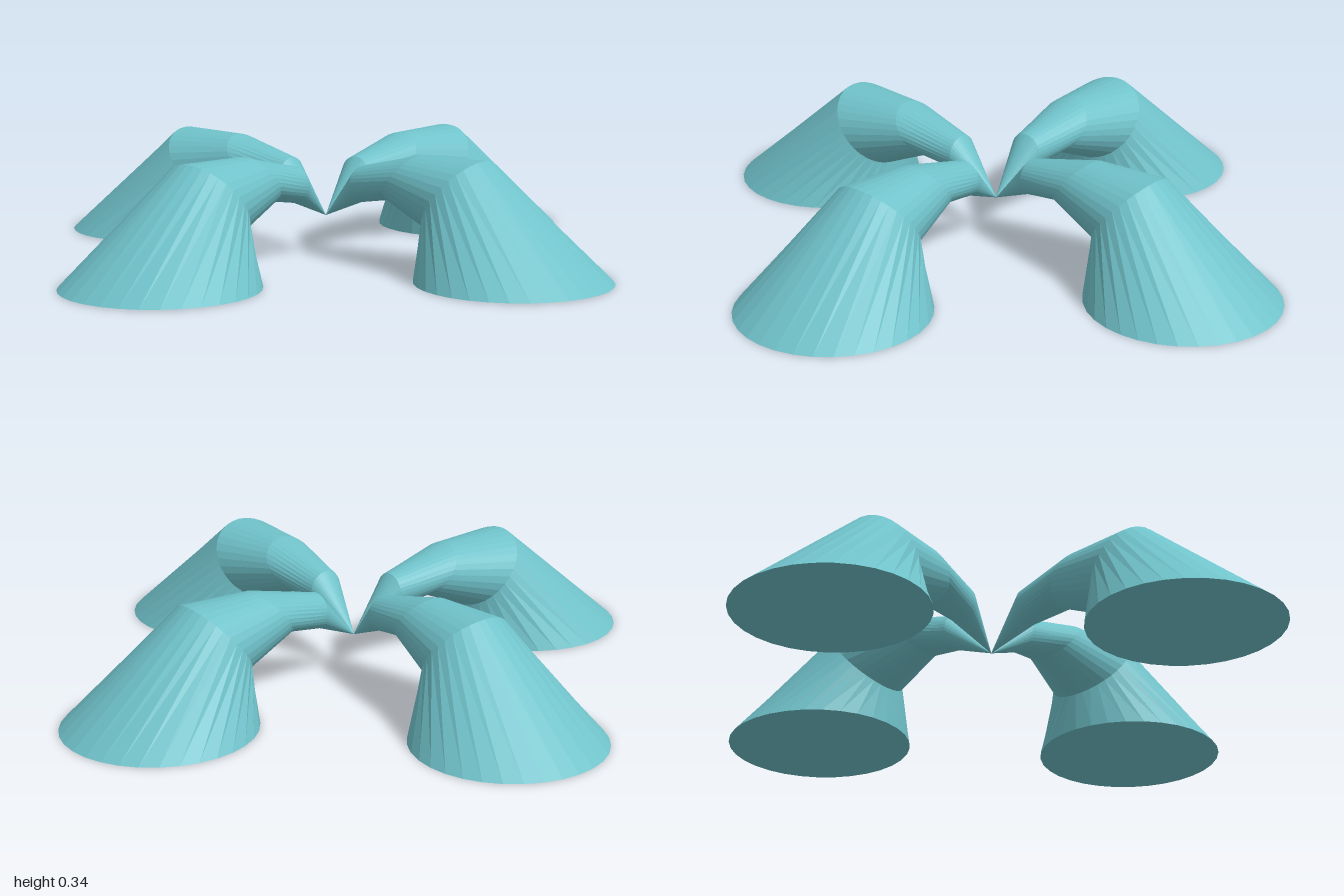
import * as THREE from 'three';

const SIDES = 32;

// Cross-section circles of one leg, from foot to tip.
// Each is given by its outer/top and inner/bottom point: [x, y, x, y]
const RINGS = [
  [1.0, 0, 0.422, 0],
  [0.6, 0.336, 0.425, 0.12],
  [0.37, 0.333, 0.262, 0.19],
  [0.14, 0.28, 0.142, 0.17],
  [0.001, 0.116, 0.0, 0.115],
];

// Skin the circles into a closed, faceted leg running along +x
function legGeometry() {
  const pos = [], index = [];
  for (const [ax, ay, bx, by] of RINGS) {
    const cx = (ax + bx) / 2, cy = (ay + by) / 2;
    const ux = (ax - bx) / 2, uy = (ay - by) / 2;
    const r = Math.hypot(ux, uy);
    for (let i = 0; i < SIDES; i++) {
      const t = (i / SIDES) * Math.PI * 2;
      pos.push(cx + ux * Math.cos(t), cy + uy * Math.cos(t), r * Math.sin(t));
    }
  }
  for (let k = 0; k < RINGS.length - 1; k++) {
    for (let i = 0; i < SIDES; i++) {
      const j = (i + 1) % SIDES;
      const a = k * SIDES + i, b = k * SIDES + j;
      const c = a + SIDES, d = b + SIDES;
      index.push(a, c, b, b, c, d);
    }
  }
  // flat sole
  const centre = pos.length / 3;
  pos.push((RINGS[0][0] + RINGS[0][2]) / 2, 0, 0);
  for (let i = 0; i < SIDES; i++) index.push(centre, i, (i + 1) % SIDES);

  const g = new THREE.BufferGeometry();
  g.setAttribute('position', new THREE.Float32BufferAttribute(pos, 3));
  g.setIndex(index);
  g.computeVertexNormals();
  return g;
}

export function createModel() {
  const model = new THREE.Group();
  model.name = 'fourLeggedBase';
  const material = new THREE.MeshStandardMaterial({
    color: 0x70c2ca, flatShading: true, side: THREE.DoubleSide,
  });
  const geometry = legGeometry();

  // Four legs meeting at the centre; the front and back pair is a touch shorter
  ['leftLeg', 'backLeg', 'rightLeg', 'frontLeg'].forEach((name, i) => {
    const leg = new THREE.Mesh(geometry, material);
    leg.name = name;
    leg.rotation.y = (i * Math.PI) / 2;
    if (i % 2) leg.scale.x = 0.989;
    model.add(leg);
  });
  return model;
}
